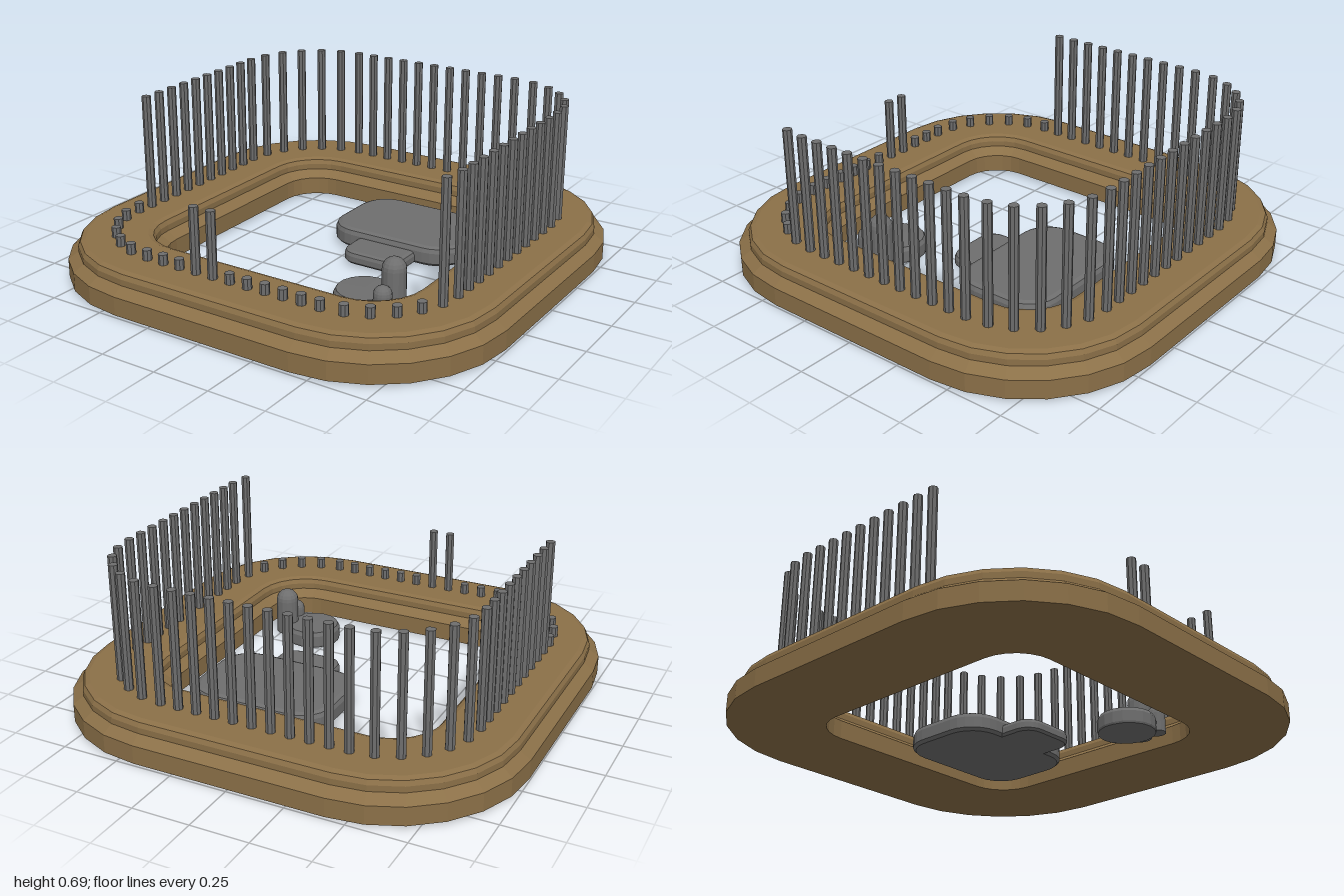
import * as THREE from 'three';

const stone = new THREE.MeshStandardMaterial({ color: 0x8b7048, flatShading: true });
const metal = new THREE.MeshStandardMaterial({ color: 0x6e6e6e, flatShading: true });

const CORNER = 0.418;   // corner centre of the rounded square
const MID = 0.376;      // corner radius along the middle of the kerb
const STEPS = 6;        // facets per corner

// Points round a rounded rectangle, corner centres at (+-cx, +-cz), radius r
function roundedLoop(cx, cz, r) {
  const pts = [];
  const signs = [[1, 1], [-1, 1], [-1, -1], [1, -1]];
  signs.forEach(([sx, sz], q) => {
    for (let i = 0; i <= STEPS; i++) {
      const a = (q + i / STEPS) * Math.PI / 2;
      pts.push([sx * cx + r * Math.cos(a), sz * cz + r * Math.sin(a)]);
    }
  });
  return pts;
}

// Sweeps a profile of [radius, y] round a rounded rectangle; a null radius closes to the centre
function sweep(cx, cz, profile) {
  const rings = profile.map(([r, y]) =>
    (r === null ? roundedLoop(0, 0, 0) : roundedLoop(cx, cz, r)).map(([x, z]) => [x, y, z]));
  const n = rings[0].length;
  const pos = rings.flat(2);
  const index = [];
  for (let j = 0; j < rings.length - 1; j++) {
    for (let i = 0; i < n; i++) {
      const k = (i + 1) % n;
      const a = j * n + i, b = a + n, c = j * n + k, d = c + n;
      if (profile[j][0] !== null) index.push(a, b, c);
      if (profile[j + 1][0] !== null) index.push(b, d, c);
    }
  }
  const g = new THREE.BufferGeometry();
  g.setAttribute('position', new THREE.Float32BufferAttribute(pos, 3));
  g.setIndex(index);
  const flat = g.toNonIndexed();
  flat.computeVertexNormals();
  return flat;
}

function add(parent, name, geometry, material, x = 0, y = 0, z = 0) {
  const mesh = new THREE.Mesh(geometry, material);
  mesh.name = name;
  mesh.position.set(x, y, z);
  parent.add(mesh);
  return mesh;
}

// Slab with rounded corners and a softened top edge
function slab(width, depth, radius, bottom, top, bevel) {
  return sweep(width / 2 - radius, depth / 2 - radius, [
    [null, bottom], [radius - bevel / 2, bottom], [radius, bottom + bevel / 2],
    [radius, top - bevel], [radius - bevel * 0.3, top - bevel * 0.3],
    [radius - bevel, top], [null, top],
  ]);
}

// Upright post with a domed top
function domedPost(radius, bottom, top) {
  const pts = [new THREE.Vector2(0, bottom), new THREE.Vector2(radius, bottom)];
  for (let i = 0; i <= 5; i++) {
    const a = i / 5 * Math.PI / 2;
    pts.push(new THREE.Vector2(i === 5 ? 0 : radius * Math.cos(a), top - radius + radius * Math.sin(a)));
  }
  return new THREE.LatheGeometry(pts, 14);
}

export function createModel() {
  const model = new THREE.Group();
  model.name = 'railedEnclosure';

  // Kerb: a stepped section, the same on its outer and inner side
  const half = [[0.206, 0.01], [0.206, 0.09], [0.162, 0.122], [0.162, 0.148], [0.152, 0.167], [0.13, 0.175]];
  const section = [
    ...half.map(([w, y]) => [MID + w, y]),
    ...half.slice().reverse().map(([w, y]) => [MID - w, y]),
    [MID + half[0][0], half[0][1]],
  ];
  add(model, 'kerb', sweep(CORNER, CORNER, section), stone);

  // Railing bars: whole round three sides, broken to stubs along the front
  const railing = new THREE.Group();
  railing.name = 'railing';
  model.add(railing);
  const spots = [];
  const corners = roundedLoop(CORNER, CORNER, MID);
  corners.forEach(([x, z], i) => {
    spots.push([x, z]);
    if (i % (STEPS + 1) === STEPS) {
      const [nx, nz] = corners[(i + 1) % corners.length];
      for (let k = 1; k < 10; k++) {
        spots.push([x + (nx - x) * k / 10, z + (nz - z) * k / 10]);
      }
    }
  });
  for (const [x, z] of spots) {
    const broken = z > (x > 0 ? 0.56 : 0.38);
    const halfHeight = z > 0.78 && x < -0.06 && x > -0.19;
    const top = halfHeight ? 0.46 : broken ? 0.22 : 0.685;
    const bar = new THREE.CylinderGeometry(0.02, 0.02, top - 0.15, 8);
    add(railing, broken ? 'brokenBar' : 'bar', bar, metal, x, (top + 0.15) / 2, z);
  }

  // Large slab with a lower step in front of it
  add(model, 'slab', slab(0.64, 0.45, 0.14, 0.015, 0.1, 0.025), metal, 0.18, 0, -0.295);
  add(model, 'slabStep', slab(0.29, 0.24, 0.075, 0.015, 0.07, 0.02), metal, 0.18, 0, -0.035);

  // Round plinth with two domed posts on its rim
  const disc = [[0, 0], [0.122, 0], [0.125, 0.008], [0.125, 0.055], [0.115, 0.072], [0, 0.075]]
    .map(([r, y]) => new THREE.Vector2(r, y));
  add(model, 'plinth', new THREE.LatheGeometry(disc, 18), metal, 0.34, 0, 0.36);
  add(model, 'tallPost', domedPost(0.051, 0.02, 0.23), metal, 0.465, 0, 0.337);
  add(model, 'shortPost', domedPost(0.039, 0.02, 0.14), metal, 0.465, 0, 0.424);

  return model;
}
